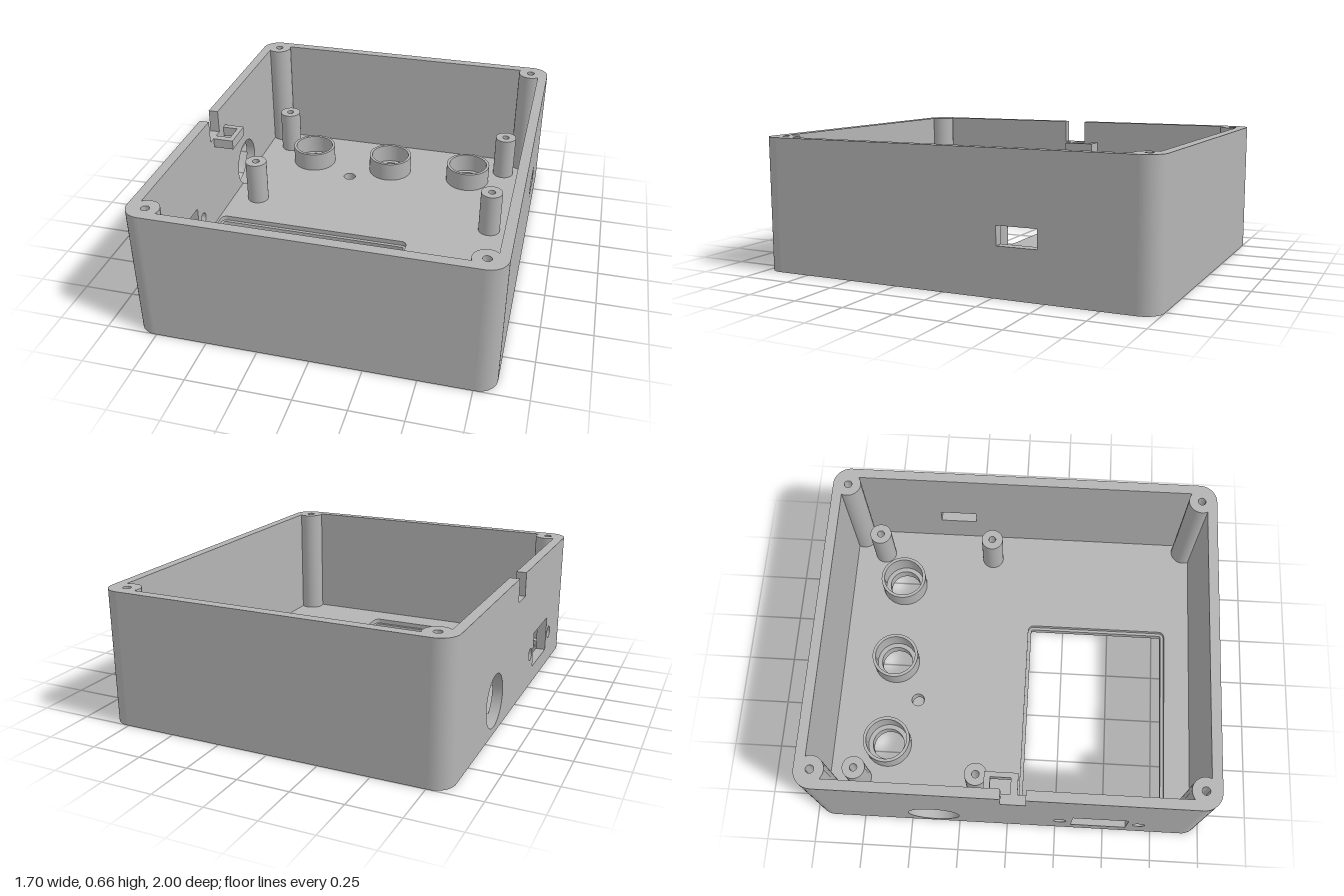
import * as THREE from 'three';
import { toCreasedNormals } from 'three/addons/utils/BufferGeometryUtils.js';

const W = 0.85, D = 1, H = 0.66, R = 0.09, T = 0.05, FLOOR = 0.06, LEDGE = 0.035;
const PORT = { z: -0.375, y: 0.165, r: 0.13 };   // round opening in the -x wall

const v = (x, y) => new THREE.Vector2(x, y);

function circle(x, y, r) {
  return new THREE.Path().absarc(x, y, r, 0, Math.PI * 2, false);
}

function rect(x0, y0, x1, y1) {
  return new THREE.Path([v(x0, y0), v(x1, y0), v(x1, y1), v(x0, y1), v(x0, y0)]);
}

function roundRect(x0, y0, x1, y1, r) {
  const p = new THREE.Path();
  p.absarc(x1 - r, y1 - r, r, 0, Math.PI / 2);
  p.absarc(x0 + r, y1 - r, r, Math.PI / 2, Math.PI);
  p.absarc(x0 + r, y0 + r, r, Math.PI, Math.PI * 1.5);
  p.absarc(x1 - r, y0 + r, r, Math.PI * 1.5, Math.PI * 2);
  p.closePath();
  return p;
}

function extrude(shape, depth) {
  return new THREE.ExtrudeGeometry(shape, { depth, bevelEnabled: false, curveSegments: 24 });
}

// Shape drawn in (x, z), standing from y0 to y1
function plan(shape, y0, y1) {
  return extrude(shape, y1 - y0).rotateX(Math.PI / 2).translate(0, y1, 0);
}

// Shape drawn in (z, y), spanning x0 to x1
function side(shape, x0, x1) {
  return extrude(shape, x1 - x0).rotateY(-Math.PI / 2).translate(x1, 0, 0);
}

// Round post with a blind screw hole
function post(r, hole, y0, y1, depth) {
  return new THREE.LatheGeometry(
    [v(r, y0), v(r, y1), v(hole, y1), v(hole, y1 - depth), v(0, y1 - depth)], 32);
}

export function createModel() {
  const group = new THREE.Group();
  const grey = new THREE.MeshStandardMaterial({ color: 0xb4b4b4 });
  const add = (name, geometry, x = 0, y = 0, z = 0) => {
    const mesh = new THREE.Mesh(toCreasedNormals(geometry, 0.5), grey);
    mesh.name = name;
    mesh.position.set(x, y, z);
    group.add(mesh);
  };

  const knobs = [-0.47, 0, 0.465], knobZ = -0.66;
  const iw = W - T, id = D - T;
  const grooveHalf = Math.sqrt(PORT.r ** 2 - (PORT.y - FLOOR) ** 2);
  const g0 = PORT.z - grooveHalf, g1 = PORT.z + grooveHalf, gx = -0.7;

  // Floor in two layers, so the display window has a stepped ledge
  const floorLayer = (name, y0, y1, windowHole) => {
    const s = new THREE.Shape([v(-iw, -id), v(iw, -id), v(iw, id), v(-iw, id),
      v(-iw, g1), v(gx, g1), v(gx, g0), v(-iw, g0)]);
    s.holes.push(windowHole, circle(-0.215, -0.525, 0.034));
    for (const x of knobs) s.holes.push(circle(x, knobZ, 0.083));
    add(name, plan(s, y0, y1));
  };
  floorLayer('floorLower', 0, LEDGE, roundRect(-0.772, 0.072, 0.24, 0.798, 0.01));
  floorLayer('floorUpper', LEDGE, FLOOR, roundRect(-0.788, 0.055, 0.255, 0.815, 0.03));

  // Curved groove where the round opening dips into the floor
  const groove = new THREE.Shape();
  const a = Math.asin(grooveHalf / PORT.r);
  groove.moveTo(g0, 0);
  groove.lineTo(g1, 0);
  groove.absarc(PORT.z, PORT.y, PORT.r, -Math.PI / 2 + a, -Math.PI / 2 - a, true);
  groove.closePath();
  add('portGroove', side(groove, -iw, gx));

  // Right-hand wall (+x) with its slot
  const zEnd = D - R;
  const slotWall = new THREE.Shape([v(-zEnd, 0), v(zEnd, 0), v(zEnd, H), v(-zEnd, H)]);
  slotWall.holes.push(rect(-0.465, 0.235, -0.27, 0.325));
  add('slotWall', side(slotWall, iw, W));

  // Port wall (-x): top notch, round opening, socket opening and two screw holes
  const portWall = new THREE.Shape([v(-zEnd, 0), v(zEnd, 0), v(zEnd, H),
    v(0.09, H), v(0.09, 0.54), v(-0.03, 0.54), v(-0.03, H), v(-zEnd, H)]);
  portWall.holes.push(circle(PORT.z, PORT.y, PORT.r), rect(0.33, 0.09, 0.61, 0.275),
    circle(0.27, 0.175, 0.032), circle(0.67, 0.175, 0.032));
  add('portWall', side(portWall, -W, -iw));

  // Plain front and back walls
  for (const s of [1, -1]) {
    add(s > 0 ? 'frontWall' : 'backWall', new THREE.BoxGeometry(2 * (W - R), H, T),
      0, H / 2, s * (D - T / 2));
  }

  // Rounded corners, each with a full-height lid post
  for (const sx of [1, -1]) for (const sz of [1, -1]) {
    const pts = [];
    for (let i = 0; i <= 12; i++) {
      const t = (i / 12) * Math.PI / 2;
      pts.push(v(sx * (W - R + R * Math.sin(t)), sz * (D - R + R * Math.cos(t))));
    }
    pts.push(v(sx * iw, sz * zEnd), v(sx * iw, sz * id), v(sx * (W - R), sz * id));
    add('corner', plan(new THREE.Shape(pts), 0, H));
    add('lidPost', post(0.066, 0.02, LEDGE, H, 0.25), sx * 0.757, 0, sz * 0.922);
  }

  // Board standoffs
  for (const x of [-0.66, 0.66]) for (const z of [-0.79, -0.17]) {
    add('standoff', post(0.058, 0.019, LEDGE, 0.3, 0.2), x, 0, z);
  }

  // Collars around the three knob holes
  for (const x of knobs) {
    const collar = new THREE.LatheGeometry(
      [v(0.123, FLOOR), v(0.123, 0.165), v(0.107, 0.165), v(0.107, FLOOR)], 48);
    add('knobCollar', collar, x, 0, knobZ);
  }

  // Small open bracket beside the notch
  const bracket = new THREE.Shape([v(-iw, -0.115), v(-0.695, -0.115), v(-0.695, 0.05),
    v(-iw, 0.05), v(-iw, 0.015), v(-0.72, 0.015), v(-0.72, -0.085), v(-iw, -0.085)]);
  add('notchBracket', plan(bracket, 0.49, 0.54));

  return group;
}
